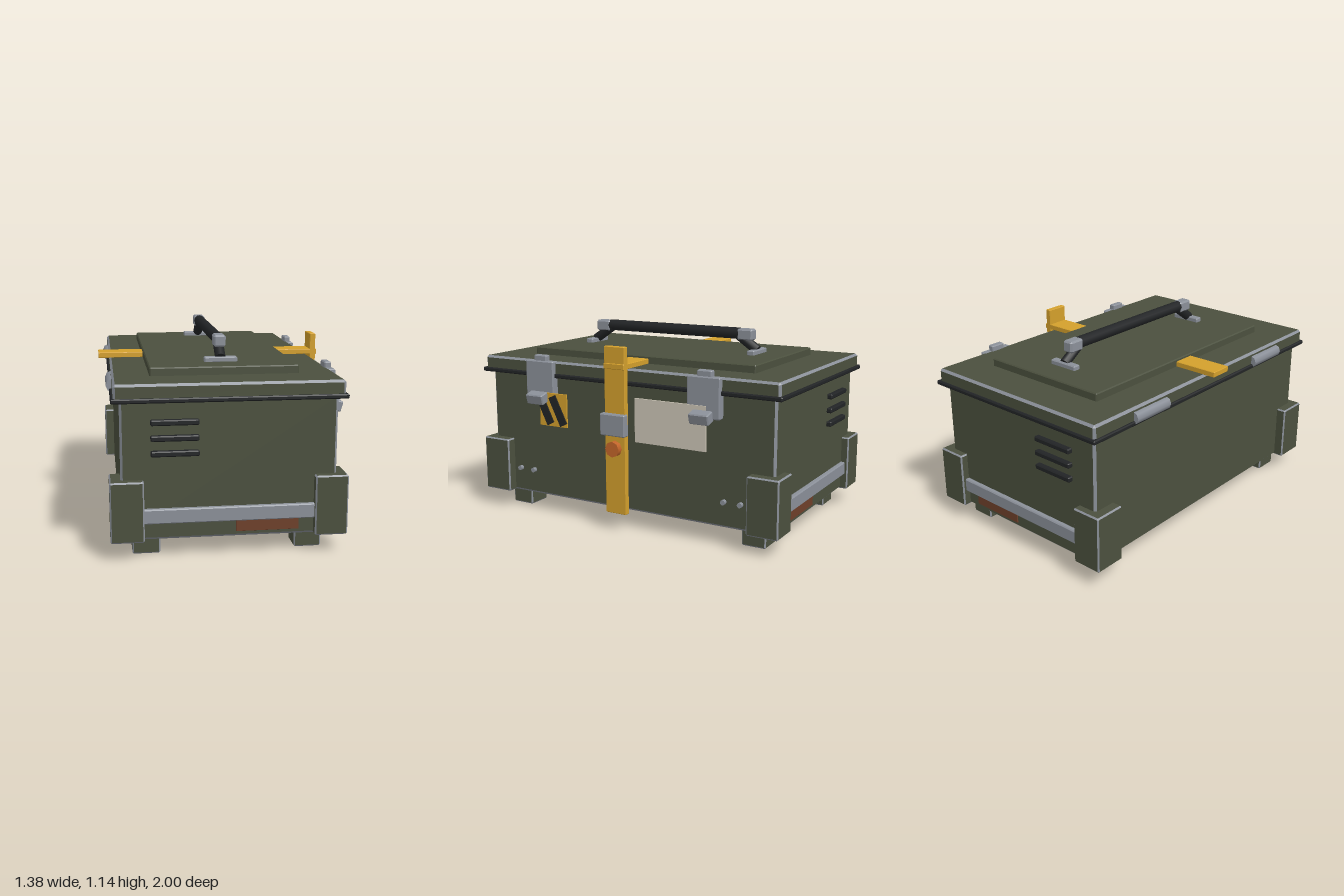
import * as THREE from 'three';

const mat = (name, color) => {
  const m = new THREE.MeshStandardMaterial({ color });
  m.name = name;
  return m;
};

// Box with chamfered edges: group 0 = the six faces, group 1 = edge and corner bevels
function chamferBox(w, h, d, c) {
  const half = [w / 2, h / 2, d / 2];
  const faces = [], bevels = [];
  // corner point (given by signs s) lying on the face of the given axis
  const point = (axis, s) => new THREE.Vector3(...s.map((k, i) => k * (half[i] - (i === axis ? 0 : c))));
  const tri = (out, p, q, r) => {
    const n = q.clone().sub(p).cross(r.clone().sub(p));
    const mid = p.clone().add(q).add(r);
    for (const v of n.dot(mid) < 0 ? [p, r, q] : [p, q, r]) out.push(v.x, v.y, v.z);
  };
  const quad = (out, p, q, r, s) => { tri(out, p, q, r); tri(out, p, r, s); };
  const signs = (a, sa, b, sb, e, se) => {
    const s = [];
    s[a] = sa; s[b] = sb; s[e] = se;
    return s;
  };
  for (let a = 0; a < 3; a++) {
    const b = (a + 1) % 3, e = (a + 2) % 3;
    for (const sa of [-1, 1]) {
      quad(faces, ...[[-1, -1], [1, -1], [1, 1], [-1, 1]].map(([u, v]) => point(a, signs(a, sa, b, u, e, v))));
      for (const sb of [-1, 1]) {
        const lo = signs(a, sa, b, sb, e, -1), hi = signs(a, sa, b, sb, e, 1);
        quad(bevels, point(a, lo), point(a, hi), point(b, hi), point(b, lo));
      }
    }
  }
  for (const x of [-1, 1]) for (const y of [-1, 1]) for (const z of [-1, 1]) {
    tri(bevels, ...[0, 1, 2].map(a => point(a, [x, y, z])));
  }
  const g = new THREE.BufferGeometry();
  g.setAttribute('position', new THREE.Float32BufferAttribute(faces.concat(bevels), 3));
  g.addGroup(0, faces.length / 3, 0);
  g.addGroup(faces.length / 3, bevels.length / 3, 1);
  g.computeVertexNormals();
  return g;
}

export function createModel() {
  const model = new THREE.Group();
  model.name = 'equipmentCase';
  const green = mat('olive paint', 0x4b503e);
  const black = mat('black rubber', 0x222426);
  const metal = mat('bare metal', 0x8b9099);
  const yellow = mat('yellow webbing', 0xd4a02c);
  const orange = mat('orange button', 0xc4662a);
  const rust = mat('rust', 0x6f402a);
  const cream = mat('cream label', 0xcdc6b7);
  const CX = -0.016; // centre line of the case

  const add = (name, geo, material, x = 0, y = 0, z = 0) => {
    const m = new THREE.Mesh(geo, material);
    m.name = name;
    m.position.set(x, y, z);
    model.add(m);
    return m;
  };
  // bevelled box given by its extents on each axis
  const box = (name, [x0, x1], [y0, y1], [z0, z1], face, edge = face, c = 0.006) =>
    add(name, chamferBox(x1 - x0, y1 - y0, z1 - z0, c), [face, edge],
      (x0 + x1) / 2, (y0 + y1) / 2, (z0 + z1) / 2);
  // round bar between two points
  const rod = (name, a, b, r, material, sides = 12) => {
    const p = new THREE.Vector3(...a), q = new THREE.Vector3(...b);
    const dir = q.clone().sub(p);
    const m = add(name, new THREE.CylinderGeometry(r, r, dir.length(), sides), material);
    m.position.copy(p).add(q).multiplyScalar(0.5);
    m.quaternion.setFromUnitVectors(new THREE.Vector3(0, 1, 0), dir.normalize());
    return m;
  };

  // Case, gasket and lid
  box('body', [-0.594, 0.562], [0.11, 0.87], [-0.954, 0.954], green, metal, 0.013);
  box('gasket', [-0.638, 0.608], [0.857, 0.882], [-1, 1], black);
  box('lid', [-0.625, 0.594], [0.865, 0.955], [-0.985, 0.985], green, metal, 0.013);
  box('lidPanel', [-0.423, 0.392], [0.945, 1.0], [-0.75, 0.75], green);

  // Corner guards and feet
  for (const sz of [-1, 1]) {
    const zr = (a, b) => (sz > 0 ? [a, b] : [-b, -a]);
    for (const [x0, x1] of [[-0.653, -0.473], [0.44, 0.62]]) {
      box('cornerGuard', [x0, x1], [0.11, 0.442], zr(0.81, 1), green, metal, 0.008);
    }
    for (const [x0, x1] of [[-0.535, -0.384], [0.352, 0.502]]) {
      box('foot', [x0, x1], [0.005, 0.112], zr(0.733, 0.88), green, metal, 0.008);
    }

    // Bumper rail, rust patch and vents on each end
    box('bumperRail', [-0.48, 0.45], [0.204, 0.284], zr(0.945, 0.98), metal);
    box('rustPatch', [0.018, 0.358], [0.14, 0.206], zr(0.952, 0.961), rust, rust, 0.001);
    for (const y of [0.75, 0.666, 0.584]) {
      box('ventSlot', [-0.435, -0.18], [y - 0.015, y + 0.015], zr(0.95, 0.985), black);
    }

    // Hinges on the right side
    rod('hinge', [-0.62, 0.897, sz * 0.41], [-0.62, 0.897, sz * 0.685], 0.036, metal, 8);

    // Latches on the left side
    box('latchPlate', [0.572, 0.623], [0.725, 0.955], zr(0.45, 0.65), metal);
    box('latchTab', [0.572, 0.612], [0.94, 0.988], zr(0.505, 0.595), metal);
    const hook = add('latchHook', chamferBox(0.065, 0.062, 0.12, 0.006), [metal, metal], 0.648, 0.737, sz * 0.55);
    hook.rotation.z = -0.27;

    // Bolts beside the guards
    for (const z of [0.654, 0.756]) {
      rod('bolt', [0.55, 0.26, sz * z], [0.585, 0.26, sz * z], 0.015, metal, 8);
    }

    // Handle mount, arm and grip collar
    box('handleMount', [CX - 0.093, CX + 0.093], [0.995, 1.027], zr(0.545, 0.592), metal);
    rod('handleArm', [CX, 1.02, sz * 0.572], [CX, 1.11, sz * 0.44], 0.03, black);
    box('handleCollar', [CX - 0.034, CX + 0.034], [1.075, 1.143], zr(0.45, 0.55), metal, metal, 0.01);
  }
  rod('handleGrip', [CX, 1.113, -0.46], [CX, 1.113, 0.46], 0.034, black);

  // Straps, buckle and button
  box('topStrap', [-0.69, 0.656], [0.953, 0.985], [-0.068, 0.068], yellow, yellow, 0.003);
  box('sideStrap', [0.613, 0.648], [0.108, 1.08], [-0.068, 0.068], yellow, yellow, 0.003);
  box('buckle', [0.634, 0.681], [0.573, 0.7], [-0.082, 0.082], metal);
  rod('button', [0.64, 0.497, 0], [0.682, 0.497, 0], 0.046, orange, 8);

  // Label and hazard plate
  box('label', [0.616, 0.625], [0.543, 0.797], [-0.57, -0.118], cream, cream, 0.001);
  box('hazardPlate', [0.62, 0.629], [0.57, 0.77], [0.35, 0.547], yellow, yellow, 0.001);
  for (const z of [0.507, 0.413]) {
    const stripe = add('hazardStripe', new THREE.BoxGeometry(0.008, 0.185, 0.052), black, 0.632, 0.668, z);
    stripe.rotation.x = 0.46;
  }
  return model;
}
